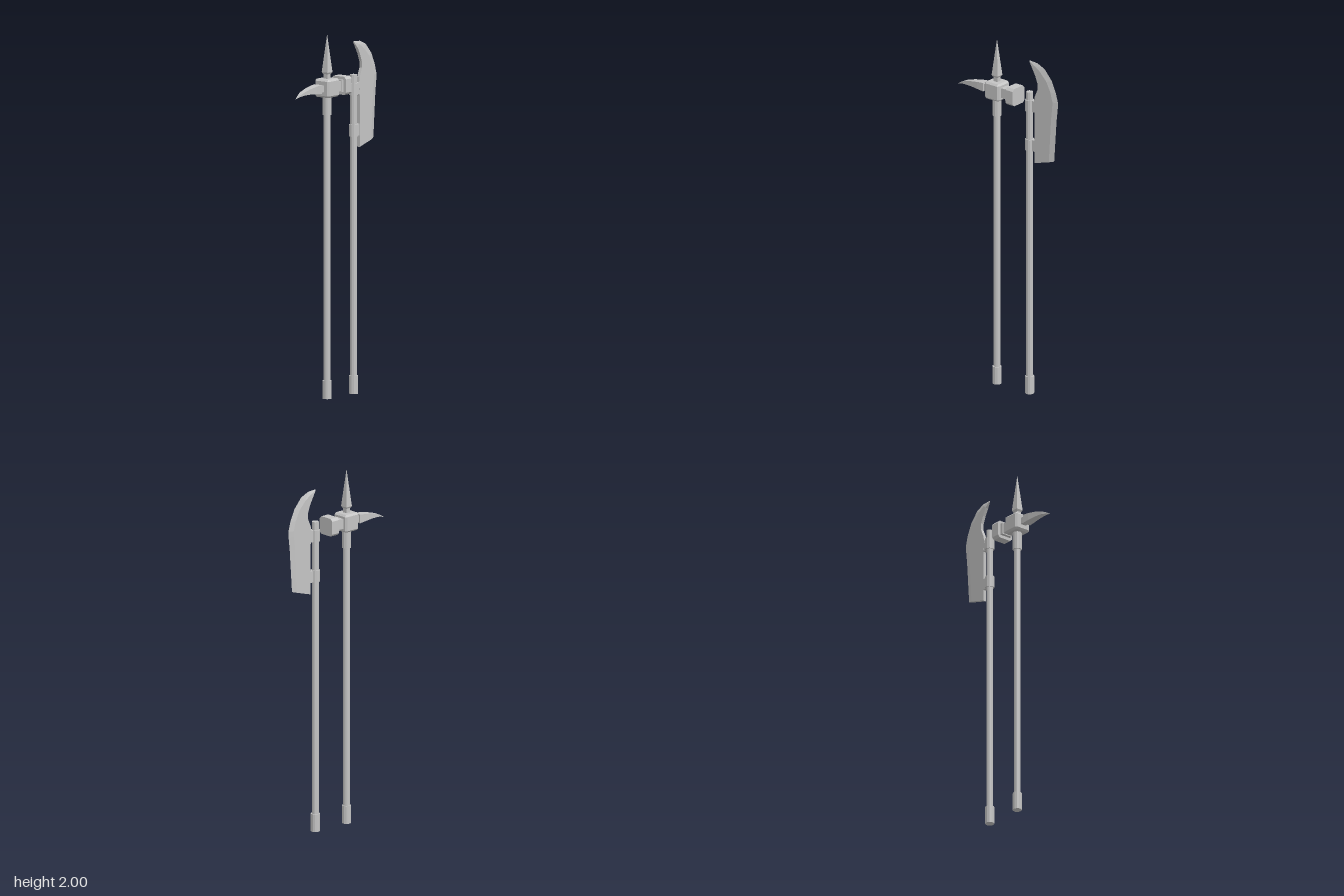
import * as THREE from 'three';
import { ConvexGeometry } from 'three/addons/geometries/ConvexGeometry.js';

const steel = new THREE.MeshStandardMaterial({ color: 0xc4c4c4, flatShading: true });
steel.name = 'grey steel';

function add(group, name, geometry, x = 0, y = 0, z = 0) {
  const mesh = new THREE.Mesh(geometry, steel);
  mesh.name = name;
  mesh.position.set(x, y, z);
  group.add(mesh);
}

// Upright rod between two heights
function rod(group, name, r, y0, y1) {
  const sides = 12;
  const g = new THREE.CylinderGeometry(r, r, y1 - y0, sides);
  g.rotateY(Math.PI / sides);
  add(group, name, g, 0, (y0 + y1) / 2);
}

// Skin a row of rings, each with the same number of [x, y, z] points, and cap both ends.
// Rings run clockwise as seen looking along the row from its end to its start.
function loft(rings) {
  const n = rings[0].length, pos = [];
  const tri = (a, b, c) => pos.push(...a, ...b, ...c);
  for (let i = 0; i < rings.length - 1; i++) {
    for (let j = 0; j < n; j++) {
      const k = (j + 1) % n, p = rings[i], q = rings[i + 1];
      tri(p[j], q[j], q[k]);
      tri(p[j], q[k], p[k]);
    }
  }
  const first = rings[0], last = rings[rings.length - 1];
  for (let j = 1; j < n - 1; j++) {
    tri(first[0], first[j], first[j + 1]);
    tri(last[0], last[j + 1], last[j]);
  }
  const g = new THREE.BufferGeometry();
  g.setAttribute('position', new THREE.Float32BufferAttribute(pos, 3));
  g.computeVertexNormals();
  return g;
}

// Cube with every edge chamfered
function chamferedCube(half, cut) {
  const a = half - cut, pts = [], s = [-1, 1];
  for (const x of s) for (const y of s) for (const z of s) {
    pts.push(
      new THREE.Vector3(x * half, y * a, z * a),
      new THREE.Vector3(x * a, y * half, z * a),
      new THREE.Vector3(x * a, y * a, z * half)
    );
  }
  return new ConvexGeometry(pts);
}

// Square with cut corners, extruded along x and centred
function cutSlab(a, cut, depth) {
  const b = a - cut;
  const pts = [[-b, -a], [b, -a], [a, -b], [a, b], [b, a], [-b, a], [-a, b], [-a, -b]];
  const shape = new THREE.Shape(pts.map(p => new THREE.Vector2(...p)));
  const g = new THREE.ExtrudeGeometry(shape, { depth, bevelEnabled: false });
  return g.translate(0, 0, -depth / 2).rotateY(Math.PI / 2);
}

function createWarHammer() {
  const g = new THREE.Group();
  g.name = 'warHammer';
  const headY = 1.71;
  rod(g, 'hammerShaft', 0.019, 0.02, 1.67);
  rod(g, 'hammerFootCap', 0.025, 0, 0.1);
  rod(g, 'hammerSocket', 0.025, 1.56, 1.67);
  add(g, 'hammerHeadBlock', chamferedCube(0.05, 0.01), 0, headY);

  // Top spike
  add(g, 'spikeNeck', new THREE.BoxGeometry(0.028, 0.04, 0.028), 0, 1.775);
  const square = (y, r) => [[-r, y, r], [r, y, r], [r, y, -r], [-r, y, -r]];
  add(g, 'topSpike', loft([square(2, 0.0005), square(1.795, 0.021), square(1.785, 0.015)]));

  // Striking face
  add(g, 'hammerNeck', new THREE.BoxGeometry(0.04, 0.056, 0.056), 0.067, headY);
  add(g, 'hammerCollar', new THREE.BoxGeometry(0.02, 0.066, 0.066), 0.094, headY);
  add(g, 'strikingFace', cutSlab(0.05, 0.013, 0.05), 0.127, headY);

  // Curved beak: x, bottom, top, half width
  add(g, 'beakNeck', new THREE.BoxGeometry(0.04, 0.036, 0.034), -0.065, headY);
  const beak = [
    [-0.078, 1.686, 1.735, 0.025], [-0.12, 1.69, 1.731, 0.0238],
    [-0.17, 1.693, 1.722, 0.0192], [-0.22, 1.692, 1.708, 0.0145],
    [-0.25, 1.686, 1.694, 0.0068], [-0.275, 1.677, 1.678, 0.0005]
  ];
  add(g, 'beak', loft(beak.map(([x, b, t, w]) =>
    [[x, t, -w], [x, t, w], [x, b, w], [x, b, -w]])));
  g.position.x = -0.079;
  return g;
}

function createPoleaxe() {
  const g = new THREE.Group();
  g.name = 'poleaxe';
  rod(g, 'axeShaft', 0.019, 0.02, 1.755);
  rod(g, 'axeFootCap', 0.025, 0, 0.1);

  // Two rings carry the blade
  for (const [y0, y1] of [[1.415, 1.48], [1.643, 1.708]]) {
    rod(g, 'bladeRing', 0.025, y0, y1);
    add(g, 'bladeLug', new THREE.BoxGeometry(0.04, y1 - y0, 0.016), 0.032, (y0 + y1) / 2);
  }

  // Blade stations from the tip down: back x, back y, edge x, edge y, half thickness
  const stations = [
    [0.15, 1.931, 0.152, 1.936, 0.003], [0.174, 1.9, 0.205, 1.933, 0.009],
    [0.196, 1.86, 0.255, 1.911, 0.009], [0.211, 1.82, 0.305, 1.855, 0.009],
    [0.213, 1.785, 0.335, 1.79, 0.009], [0.192, 1.735, 0.35, 1.735, 0.009],
    [0.186, 1.7, 0.348, 1.7, 0.009], [0.193, 1.63, 0.34, 1.63, 0.009],
    [0.193, 1.351, 0.323, 1.389, 0.009]
  ];
  const rings = stations.map(([bx, by, ex, ey, t]) => {
    const f = Math.min(0.5, 0.032 / Math.hypot(ex - bx, ey - by));
    const mx = ex + (bx - ex) * f, my = ey + (by - ey) * f;
    return [[bx, by, t], [mx, my, t], [ex, ey, 0], [mx, my, -t], [bx, by, -t]];
  });
  add(g, 'axeBlade', loft(rings), -0.15);
  g.position.x = 0.152;
  return g;
}

export function createModel() {
  const model = new THREE.Group();
  model.name = 'poleWeapons';
  model.add(createWarHammer(), createPoleaxe());
  return model;
}
